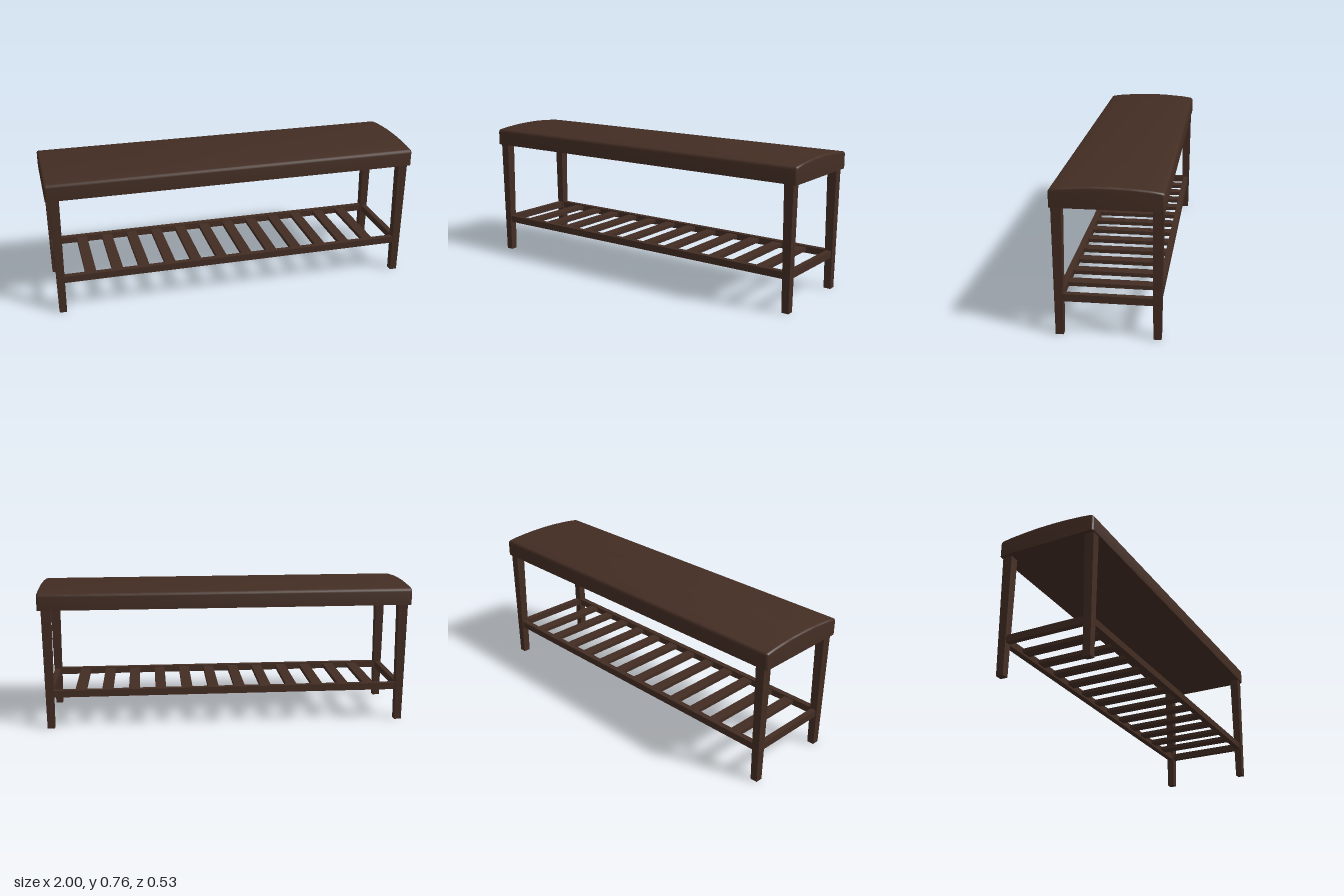
import * as THREE from 'three';
import { toCreasedNormals } from 'three/addons/utils/BufferGeometryUtils.js';

export function createModel() {
  const bench = new THREE.Group();
  bench.name = 'bench';
  const brown = new THREE.MeshStandardMaterial({ color: 0x432d23 });
  brown.name = 'dark brown';

  const add = (name, geometry, x = 0, y = 0, z = 0) => {
    const mesh = new THREE.Mesh(geometry, brown);
    mesh.name = name;
    mesh.position.set(x, y, z);
    bench.add(mesh);
    return mesh;
  };
  const box = (name, w, h, d, x, y, z) => add(name, new THREE.BoxGeometry(w, h, d), x, y, z);

  // Seat: crowned cross-section run along x, with softened ends and a flat base
  const base = 0.65, bevel = 0.01, length = 2;
  const half = [[0.267, 0.722], [0.265, 0.731], [0.26, 0.737], [0.252, 0.74],
    [0.2, 0.747], [0.15, 0.751], [0.1, 0.7545], [0.05, 0.7565]];
  const profile = [[0.267, base], ...half, [0, 0.757],
    ...half.slice().reverse().map(([z, y]) => [-z, y]), [-0.267, base]];
  const seat = new THREE.ExtrudeGeometry(
    new THREE.Shape(profile.map(([z, y]) => new THREE.Vector2(z, y))),
    { depth: length - 2 * bevel, bevelEnabled: true, bevelThickness: bevel, bevelSize: bevel,
      bevelOffset: -bevel, bevelSegments: 3 });
  seat.translate(0, 0, bevel - length / 2);
  const p = seat.attributes.position;
  for (let i = 0; i < p.count; i++) if (p.getY(i) < base + 0.02) p.setY(i, base);
  seat.rotateY(Math.PI / 2);
  add('seat', toCreasedNormals(seat, 0.7));

  // Legs: square, tapering slightly to the floor
  const legX = 0.955, legZ = 0.235;
  const leg = new THREE.BoxGeometry(0.05, base, 0.05);
  leg.translate(0, base / 2, 0);
  const lp = leg.attributes.position;
  for (let i = 0; i < lp.count; i++) {
    if (lp.getY(i) < 0.01) lp.setXYZ(i, lp.getX(i) * 0.77, 0, lp.getZ(i) * 0.77);
  }
  leg.computeVertexNormals();
  for (const sx of [-1, 1]) for (const sz of [-1, 1]) add('leg', leg, sx * legX, 0, sz * legZ);

  // Shelf frame between the legs
  const railY = 0.191, railH = 0.037, railT = 0.03;
  for (const s of [-1, 1]) {
    box('longRail', 2 * legX - 0.04, railH, railT, 0, railY, s * legZ);
    box('endRail', railT, railH, 2 * legZ - 0.04, s * legX, railY, 0);
  }

  // Shelf slats, evenly spaced
  const slats = 12, pitch = 0.144;
  for (let i = 0; i < slats; i++) {
    box('slat', 0.058, 0.02, 2 * legZ - railT + 0.01, (i - (slats - 1) / 2) * pitch, railY + 0.003, 0);
  }
  return bench;
}
